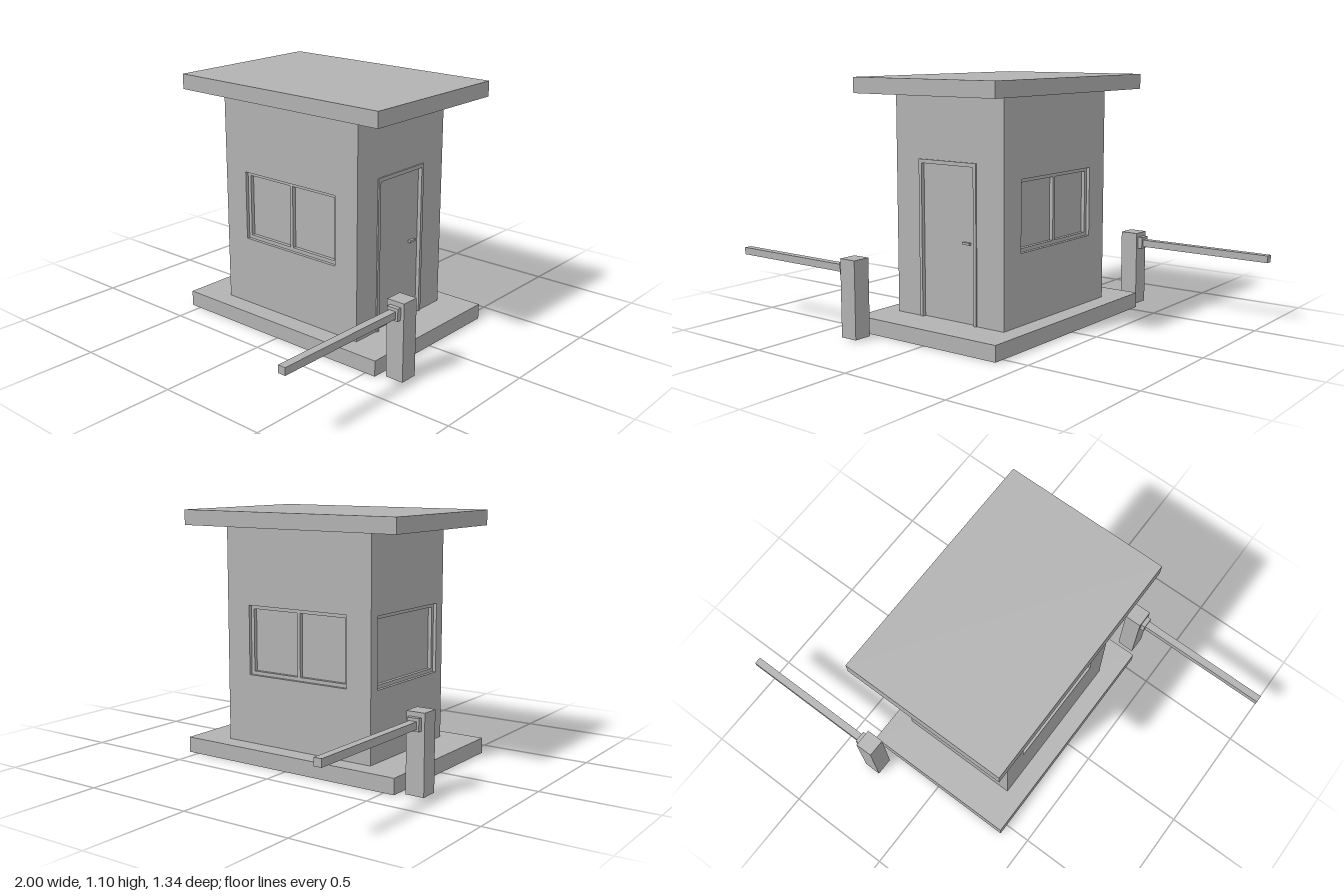
import * as THREE from 'three';

const grey = new THREE.MeshStandardMaterial({ color: 0xb2b2b2 });
grey.name = 'plain grey';

const WALL_BOTTOM = 0.07, WALL_TOP = 1.035, THICK = 0.05;

// Box given by its lower and upper corners
function box(name, [x0, y0, z0], [x1, y1, z1]) {
  const mesh = new THREE.Mesh(new THREE.BoxGeometry(x1 - x0, y1 - y0, z1 - z0), grey);
  mesh.position.set((x0 + x1) / 2, (y0 + y1) / 2, (z0 + z1) / 2);
  mesh.name = name;
  return mesh;
}

function rect(Type, x0, y0, x1, y1) {
  return new Type([[x0, y0], [x1, y0], [x1, y1], [x0, y1]].map(p => new THREE.Vector2(...p)));
}

// Flat panel with rectangular holes; its outer face lies at z = front
function panel(name, outline, holes, front, depth) {
  const shape = rect(THREE.Shape, ...outline);
  shape.holes = holes.map(h => rect(THREE.Path, ...h));
  const geo = new THREE.ExtrudeGeometry(shape, { depth, bevelEnabled: false });
  geo.translate(0, 0, front - depth);
  const mesh = new THREE.Mesh(geo, grey);
  mesh.name = name;
  return mesh;
}

// Wall facing +z with a recessed window of one or two panes
function windowWall(name, halfWidth, dist, halfWindow, panes) {
  const wall = new THREE.Group();
  wall.name = name;
  const y0 = 0.38, y1 = 0.69, rim = 0.016, bar = 0.008;
  const opening = [-halfWindow, y0, halfWindow, y1];
  wall.add(panel('wall', [-halfWidth, WALL_BOTTOM, halfWidth, WALL_TOP], [opening], dist, THICK));
  const a = halfWindow - rim;
  const lights = panes === 2
    ? [[-a, y0 + rim, -bar, y1 - rim], [bar, y0 + rim, a, y1 - rim]]
    : [[-a, y0 + rim, a, y1 - rim]];
  wall.add(panel('windowFrame', opening, lights, dist - 0.015, 0.025));
  wall.add(box('windowPane', [-halfWindow, y0, dist - 0.04], [halfWindow, y1, dist - 0.032]));
  return wall;
}

// Post with a hub and a long arm reaching towards +x
function barrier(name) {
  const g = new THREE.Group();
  g.name = name;
  g.add(box('post', [0.27, 0.005, -0.042], [0.352, 0.347, 0.042]));
  g.add(box('hub', [0.352, 0.273, -0.027], [0.372, 0.327, 0.027]));
  g.add(box('arm', [0.372, 0.282, -0.017], [1, 0.314, 0.017]));
  return g;
}

export function createModel() {
  const model = new THREE.Group();
  model.name = 'gatehouse';

  // Floor slab and roof slab
  model.add(box('baseSlab', [-0.377, 0, -0.55], [0.377, WALL_BOTTOM, 0.55]));
  model.add(box('roofSlab', [-0.377, WALL_TOP, -0.55], [0.377, 1.103, 0.55]));

  // Side and back walls
  for (const s of [1, -1]) {
    const side = windowWall(s > 0 ? 'leftWall' : 'rightWall', 0.38, 0.29, 0.26, 2);
    side.rotation.y = s * Math.PI / 2;
    model.add(side);
  }
  const back = windowWall('backWall', 0.29, 0.38, 0.238, 1);
  back.rotation.y = Math.PI;
  model.add(back);

  // Front wall with door, slim raised door frame and handle
  const door = [-0.145, WALL_BOTTOM, 0.135, 0.74];
  model.add(panel('frontWall', [-0.29, WALL_BOTTOM, 0.29, WALL_TOP], [door], 0.38, THICK));
  model.add(panel('doorFrame', [-0.16, WALL_BOTTOM, 0.15, 0.757], [door], 0.386, 0.006));
  model.add(box('door', [door[0], door[1], 0.345], [door[2], door[3], 0.368]));
  model.add(box('doorHandle', [0.072, 0.411, 0.368], [0.11, 0.421, 0.38]));

  // Barriers: one behind reaching to +x, one in front reaching to -x
  const rear = barrier('rearBarrier');
  rear.position.z = -0.63;
  const front = barrier('frontBarrier');
  front.rotation.y = Math.PI;
  front.position.z = 0.63;
  model.add(rear, front);

  return model;
}
